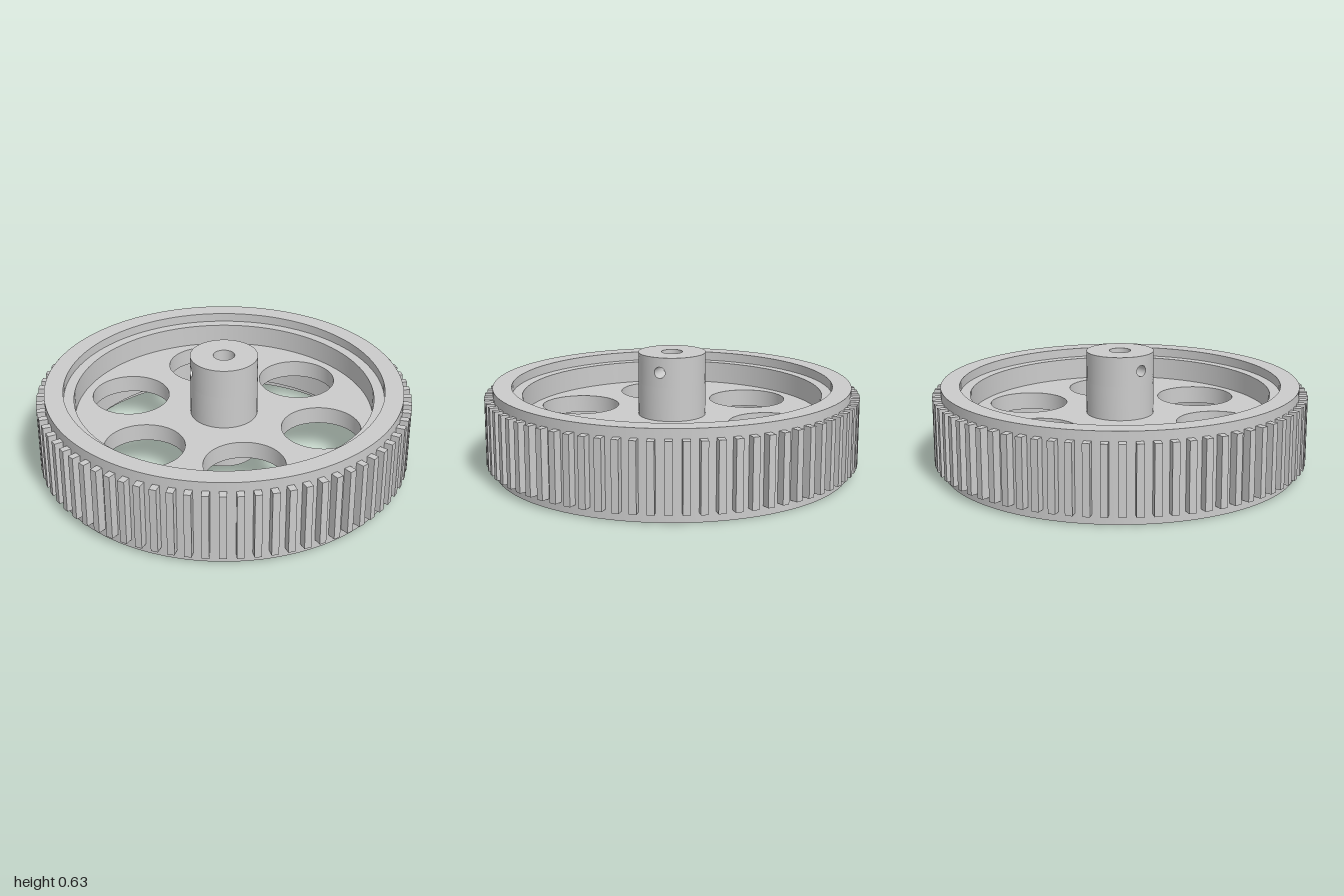
import * as THREE from 'three';
import { toCreasedNormals } from 'three/addons/utils/BufferGeometryUtils.js';
import { ParametricGeometry } from 'three/addons/geometries/ParametricGeometry.js';

const HUB_R = 0.18, BORE_R = 0.057, HUB_BOTTOM = 0.05, HUB_TOP = 0.63;
const SCREW_R = 0.03, SCREW_Y = 0.55, COLLAR_Y = 0.47;
const TEETH = 74;

// Revolved profile with sharp edges
function turned(points, segments) {
  const profile = points.map(([x, y]) => new THREE.Vector2(x, y));
  return toCreasedNormals(new THREE.LatheGeometry(profile, segments), 0.5);
}

// Half of a cylindrical wall facing +x, pierced by the round screw hole
function piercedWall(radius) {
  const corners = [[-1, -1], [1, -1], [1, 1], [-1, 1], [-1, -1]];
  return new ParametricGeometry((u, v, target) => {
    const side = Math.min(3, Math.floor(u * 4 + 1e-9));
    const f = u * 4 - side;
    const bx = THREE.MathUtils.lerp(corners[side][0], corners[side + 1][0], f);
    const by = THREE.MathUtils.lerp(corners[side][1], corners[side + 1][1], f);
    const a = -Math.PI * 0.75 + u * Math.PI * 2;
    const holeAngle = Math.asin(SCREW_R * Math.cos(a) / radius);
    const angle = THREE.MathUtils.lerp(holeAngle, bx * Math.PI / 2, v);
    const edgeY = by < 0
      ? THREE.MathUtils.lerp(SCREW_Y, COLLAR_Y, -by)
      : THREE.MathUtils.lerp(SCREW_Y, HUB_TOP, by);
    const y = THREE.MathUtils.lerp(SCREW_Y + SCREW_R * Math.sin(a), edgeY, v);
    target.set(radius * Math.cos(angle), y, radius * Math.sin(angle));
  }, 96, 10);
}

// Screw hole lining, fitted between the bore and the hub's outside
function screwLining() {
  return new ParametricGeometry((u, v, target) => {
    const a = u * Math.PI * 2;
    const z = SCREW_R * Math.cos(a);
    const inner = Math.sqrt(BORE_R ** 2 - z * z);
    const outer = Math.sqrt(HUB_R ** 2 - z * z);
    target.set(THREE.MathUtils.lerp(inner, outer, v), SCREW_Y + SCREW_R * Math.sin(a), z);
  }, 32, 1);
}

export function createModel() {
  const model = new THREE.Group();
  const grey = new THREE.MeshStandardMaterial({ color: 0xcccccc });
  const thin = new THREE.MeshStandardMaterial({ color: 0xcccccc, side: THREE.DoubleSide });
  const add = (name, geometry, material = grey, parent = model) => {
    const mesh = new THREE.Mesh(geometry, material);
    mesh.name = name;
    parent.add(mesh);
    return mesh;
  };

  // Rim with a stepped lip on both faces
  add('rim', turned([
    [0.8, 0.05], [0.855, 0.05], [0.855, 0], [0.955, 0], [0.955, 0.46],
    [0.855, 0.46], [0.855, 0.41], [0.8, 0.41], [0.8, 0.05],
  ], 128));

  // Web disc with six lightening holes
  const disc = new THREE.Shape().absarc(0, 0, 0.802, 0, Math.PI * 2);
  const cut = (x, y, r) => disc.holes.push(new THREE.Path().absarc(x, y, r, 0, Math.PI * 2, true));
  cut(0, 0, HUB_R - 0.005);
  for (let i = 0; i < 6; i++) {
    const a = Math.PI / 2 + i * Math.PI / 3;
    cut(0.543 * Math.cos(a), 0.543 * Math.sin(a), 0.21);
  }
  const web = new THREE.ExtrudeGeometry(disc, { depth: 0.095, bevelEnabled: false, curveSegments: 48 });
  web.rotateX(-Math.PI / 2).translate(0, 0.195, 0);
  add('web', toCreasedNormals(web, 0.5));

  // Hub: plain lower sleeve, top face and pierced upper collar
  const hub = new THREE.Group();
  hub.name = 'hub';
  model.add(hub);
  add('hubSleeve', turned([
    [BORE_R, COLLAR_Y], [BORE_R, HUB_BOTTOM], [HUB_R, HUB_BOTTOM], [HUB_R, COLLAR_Y],
  ], 48), thin, hub);
  add('hubTopFace', turned([[HUB_R, HUB_TOP], [BORE_R, HUB_TOP]], 48), thin, hub);
  const outerWall = piercedWall(HUB_R), boreWall = piercedWall(BORE_R), lining = screwLining();
  for (const turn of [0, Math.PI]) {
    add('hubCollar', outerWall, thin, hub).rotation.y = turn;
    add('boreCollar', boreWall, thin, hub).rotation.y = turn;
    add('screwHole', lining, thin, hub).rotation.y = turn;
  }

  // Straight teeth around the rim
  const teeth = new THREE.Group();
  teeth.name = 'teeth';
  model.add(teeth);
  const tooth = new THREE.BoxGeometry(0.037, 0.36, 0.06).translate(0, 0.23, 0.97);
  for (let i = 0; i < TEETH; i++) {
    add('tooth', tooth, grey, teeth).rotation.y = 0.058 + i * Math.PI * 2 / TEETH;
  }
  return model;
}
